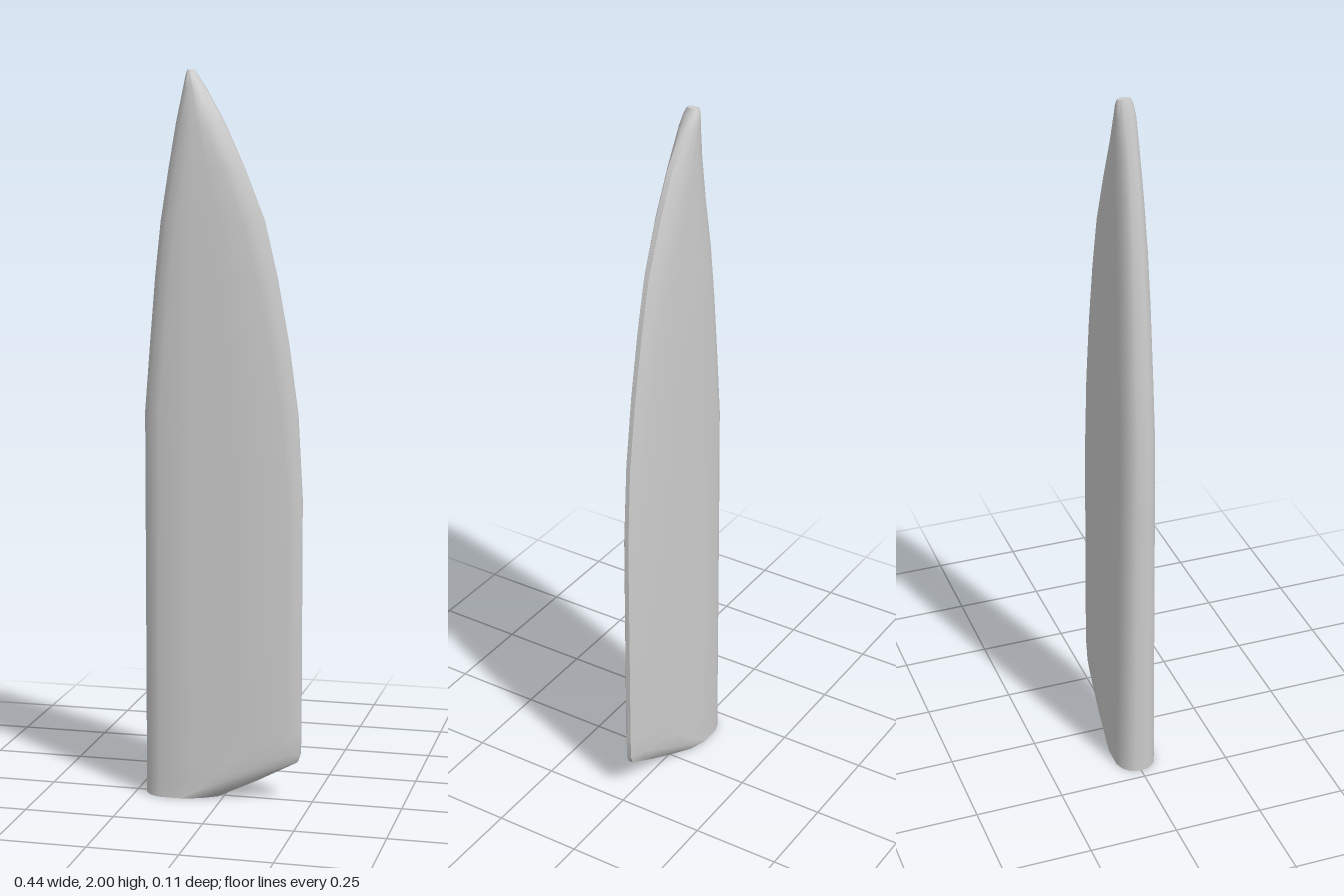
import * as THREE from 'three';
import { toCreasedNormals } from 'three/addons/utils/BufferGeometryUtils.js';

// Blade stations: [height, nose x, trailing x, thickness scale, z shift, trailing bevel width]
const stations = [
  [0, -0.22, -0.015, 1, 0, 0.09],
  [0.055, -0.22, 0.1, 1, 0, 0.09],
  [0.112, -0.22, 0.208, 0.99, 0, 0.08],
  [0.135, -0.22, 0.216, 0.985, 0, 0.055],
  [0.2, -0.22, 0.217, 0.98, 0, 0.035],
  [0.85, -0.22, 0.217, 0.91, 0, 0.035],
  [1.08, -0.22, 0.204, 0.87, 0, 0.04],
  [1.27, -0.205, 0.178, 0.83, 0, 0.045],
  [1.45, -0.19, 0.145, 0.78, 0, 0.05],
  [1.6, -0.174, 0.11, 0.72, 0, 0.055],
  [1.74, -0.152, 0.055, 0.65, 0, 0.055],
  [1.86, -0.132, 0.0, 0.57, -0.002, 0.055],
  [1.95, -0.114, -0.052, 0.48, -0.006, 0.05],
  [1.985, -0.108, -0.075, 0.4, -0.01, 0.04],
  [2, -0.104, -0.086, 0.3, -0.012, 0.03],
];
const nose = [[0, 0.3], [0.007, 0.55], [0.022, 0.82], [0.048, 1]];
const tail = [[1, 1], [0.45, 0.75], [0, 0.28]];

// Half thickness: constant at the nose, then tapering to the trailing edge
const thickness = (x) => 0.057 - 0.032 * THREE.MathUtils.clamp((x + 0.08) / 0.28, 0, 1);

// One closed section: front side nose to tail, then the back side in return
function section([y, x0, x1, scale, shift, bevel]) {
  const width = x1 - x0;
  const noseScale = Math.min(1, width / 0.16);
  const tailWidth = Math.min(bevel, width * 0.45);
  const a = x0 + 0.048 * noseScale, b = x1 - tailWidth;
  const ridge = THREE.MathUtils.clamp(-0.08, a + (b - a) * 0.15, b - (b - a) * 0.3);
  const half = [
    ...nose.map(([d, f]) => [x0 + d * noseScale, f]),
    [ridge, 1],
    [(ridge + b) / 2, 1],
    ...tail.map(([d, f]) => [x1 - d * tailWidth, f]),
  ].map(([x, f]) => [x, f * scale * thickness(x)]);
  return [
    ...half.map(([x, z]) => [x, y, z + shift]),
    ...half.reverse().map(([x, z]) => [x, y, shift - z]),
  ];
}

// Joins the sections with quads and closes both ends
function loft(rings) {
  const n = rings[0].length, top = (rings.length - 1) * n, index = [];
  for (let i = 0; i < rings.length - 1; i++) {
    for (let j = 0; j < n; j++) {
      const a = i * n + j, b = i * n + (j + 1) % n;
      index.push(a, b, b + n, a, b + n, a + n);
    }
  }
  for (let j = 1; j < n - 1; j++) {
    index.push(0, j + 1, j, top, top + j, top + j + 1);
  }
  const geometry = new THREE.BufferGeometry();
  geometry.setAttribute('position', new THREE.Float32BufferAttribute(rings.flat(2), 3));
  geometry.setIndex(index);
  return toCreasedNormals(geometry, 0.8);
}

export function createModel() {
  const group = new THREE.Group();
  group.name = 'fin';
  const blade = new THREE.Mesh(
    loft(stations.map(section)),
    new THREE.MeshStandardMaterial({ color: 0xcccccc })
  );
  blade.name = 'blade';
  group.add(blade);
  return group;
}
